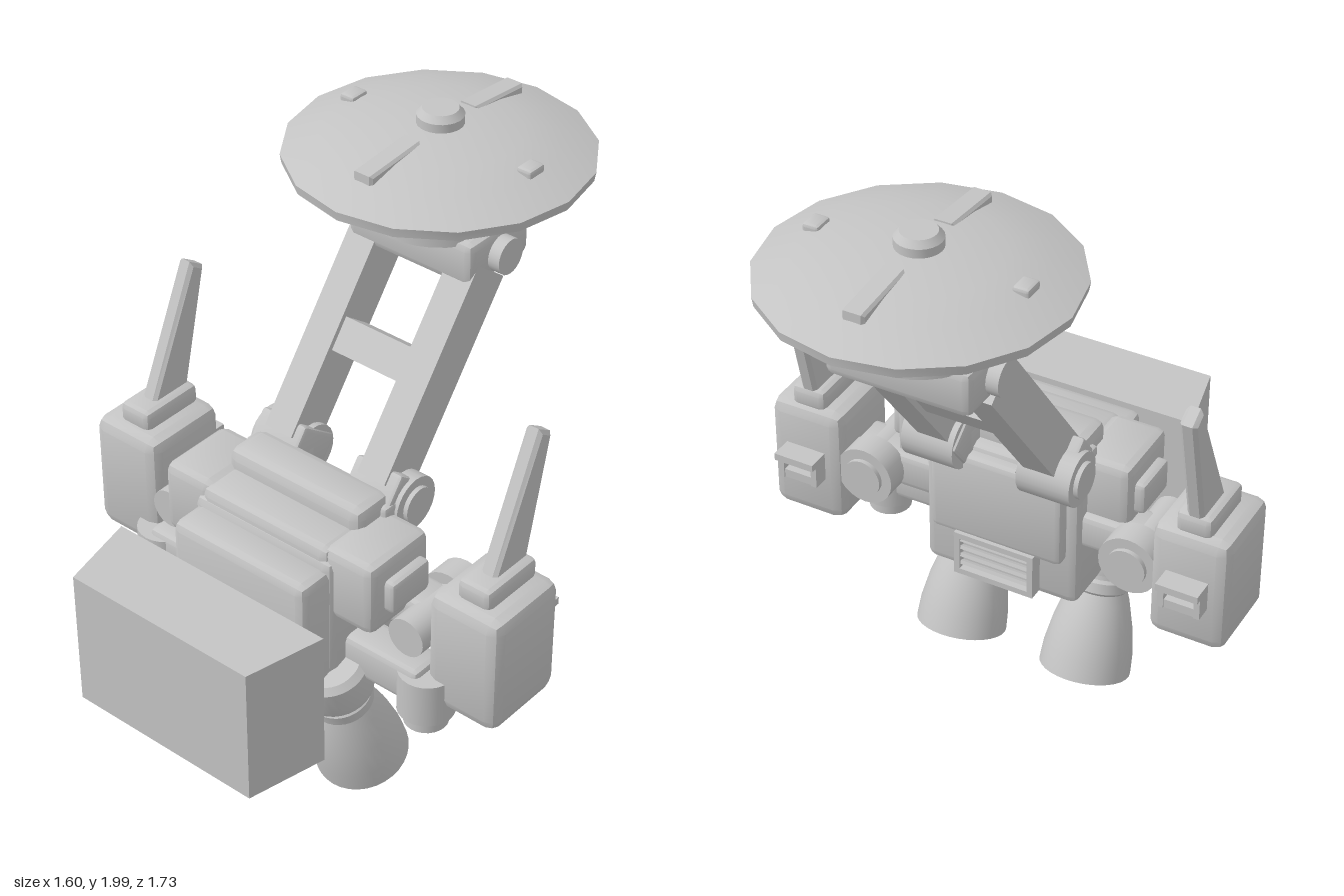
import * as THREE from 'three';
import { toCreasedNormals } from 'three/addons/utils/BufferGeometryUtils.js';
import { RoundedBoxGeometry } from 'three/addons/geometries/RoundedBoxGeometry.js';

const grey = new THREE.MeshStandardMaterial({ color: 0xc4c4c4, side: THREE.DoubleSide });
grey.name = 'light grey';

function add(parent, name, geometry, x = 0, y = 0, z = 0) {
  const mesh = new THREE.Mesh(geometry, grey);
  mesh.name = name;
  mesh.position.set(x, y, z);
  parent.add(mesh);
  return mesh;
}

// Box given by its limits, with optional rounded edges
function box(parent, name, [x0, x1], [y0, y1], [z0, z1], r = 0) {
  const size = [x1 - x0, y1 - y0, z1 - z0];
  const geometry = r
    ? toCreasedNormals(new RoundedBoxGeometry(...size, 1, r), 0.5)
    : new THREE.BoxGeometry(...size);
  return add(parent, name, geometry, (x0 + x1) / 2, (y0 + y1) / 2, (z0 + z1) / 2);
}

function cylinder(parent, name, r, length, axis, x, y, z, sides = 24) {
  const geometry = new THREE.CylinderGeometry(r, r, length, sides);
  if (axis === 'x') geometry.rotateZ(Math.PI / 2);
  if (axis === 'z') geometry.rotateX(Math.PI / 2);
  return add(parent, name, geometry, x, y, z);
}

function lathe(points, sides) {
  const profile = points.map(([r, y]) => new THREE.Vector2(r, y));
  return toCreasedNormals(new THREE.LatheGeometry(profile, sides), 0.5);
}

// Side profile in (z, y), extruded along x and centred on x = 0
function sideExtrude(points, width, bevel) {
  const shape = new THREE.Shape(points.map(([z, y]) => new THREE.Vector2(-z, y)));
  const depth = width - 2 * bevel;
  return new THREE.ExtrudeGeometry(shape, {
    depth, bevelEnabled: bevel > 0, bevelSize: bevel, bevelThickness: bevel,
    bevelOffset: -bevel, bevelSegments: 1,
  }).translate(0, 0, -depth / 2).rotateY(Math.PI / 2);
}

function buildBody(g) {
  box(g, 'bodyCore', [-0.27, 0.27], [0.43, 0.93], [0.07, 0.42], 0.03);
  box(g, 'chestPlate', [-0.26, 0.26], [0.335, 0.9], [0.38, 0.53], 0.03);
  box(g, 'upperStep', [-0.25, 0.25], [0.75, 0.965], [0.2, 0.41], 0.03);
  box(g, 'topRidge', [-0.26, 0.26], [0.85, 1.03], [0.12, 0.28], 0.035);
  box(g, 'backPanel', [-0.23, 0.23], [0.6, 0.91], [0.03, 0.14], 0.02);
  // Vent frame with slats on the lower back
  box(g, 'ventBase', [-0.13, 0.13], [0.46, 0.6], [0.045, 0.09]);
  for (const s of [-1, 1]) {
    box(g, 'ventFrameSide', [s * 0.13 - 0.01, s * 0.13 + 0.01], [0.45, 0.61], [0.02, 0.09]);
    box(g, 'ventFrameEdge', [-0.13, 0.13], [0.53 + s * 0.07 - 0.01, 0.53 + s * 0.07 + 0.01], [0.02, 0.09]);
  }
  for (let i = 0; i < 4; i++) {
    const slat = box(g, 'ventSlat', [-0.12, 0.12], [0.48 + i * 0.03, 0.492 + i * 0.03], [0.025, 0.06]);
    slat.rotation.x = 0.4;
  }
  // Separate block in front, narrower towards its front face
  const shape = new THREE.Shape([[-0.4, -0.6], [-0.34, -0.865], [0.34, -0.865], [0.4, -0.6]]
    .map(([x, y]) => new THREE.Vector2(x, y)));
  const block = new THREE.ExtrudeGeometry(shape, { depth: 0.47, bevelEnabled: false }).rotateX(-Math.PI / 2);
  add(g, 'frontBlock', block, 0, 0.38, 0);
}

// Everything on one side; the side s is -1 or 1
function buildSide(g, s) {
  const side = new THREE.Group();
  side.name = s > 0 ? 'leftSide' : 'rightSide';
  g.add(side);
  const X = (a, b) => (s > 0 ? [a, b] : [-b, -a]);

  // Shoulder and its outer cap
  box(side, 'shoulder', X(0.22, 0.41), [0.72, 0.97], [0.13, 0.4], 0.03);
  box(side, 'shoulderCap', X(0.39, 0.445), [0.79, 0.9], [0.17, 0.34], 0.015);

  // Pod joint
  cylinder(side, 'jointDisc', 0.1, 0.09, 'z', s * 0.465, 0.71, 0.065);
  cylinder(side, 'jointCap', 0.065, 0.02, 'z', s * 0.465, 0.71, 0.015);
  cylinder(side, 'jointPin', 0.065, 0.26, 'z', s * 0.475, 0.71, 0.19);
  box(side, 'jointArm', X(0.24, 0.57), [0.65, 0.77], [0.1, 0.24], 0.02);

  // Small steering thruster on a bracket
  box(side, 'thrusterBracket', X(0.24, 0.54), [0.49, 0.62], [0.22, 0.35], 0.02);
  cylinder(side, 'steeringThruster', 0.09, 0.15, 'y', s * 0.53, 0.525, 0.285);
  cylinder(side, 'steeringNozzle', 0.07, 0.05, 'y', s * 0.53, 0.43, 0.285);

  // Pod, fin and rear bracket
  box(side, 'pod', X(0.54, 0.8), [0.5, 0.91], [0.005, 0.31], 0.04);
  box(side, 'finBase', X(0.61, 0.73), [0.89, 0.97], [0.03, 0.26], 0.02);
  add(side, 'fin', sideExtrude([[0.2, 0.95], [0.04, 0.95], [-0.055, 1.355], [0, 1.39]], 0.056, 0.012), s * 0.67);
  box(side, 'podBracketTop', X(0.6, 0.74), [0.735, 0.76], [-0.07, 0.02]);
  box(side, 'podBracketBase', X(0.615, 0.725), [0.66, 0.69], [-0.045, 0.02]);
  for (const x of [0.61, 0.73]) {
    box(side, 'podBracketSide', X(x - 0.01, x + 0.01), [0.66, 0.75], [-0.05, 0.02]);
  }

  // Main thruster, tilted so that it opens down and back
  const thruster = new THREE.Group();
  thruster.name = 'mainThruster';
  thruster.position.set(s * 0.23, 0.055, 0.225);
  thruster.rotation.x = 0.325;
  side.add(thruster);
  add(thruster, 'bell', lathe([[0, 0.28], [0.075, 0.28], [0.115, 0.17], [0.135, 0.07], [0.14, 0],
    [0.15, 0], [0.146, 0.07], [0.13, 0.16], [0.105, 0.25], [0.085, 0.3]], 32));
  add(thruster, 'collar', lathe([[0, 0.28], [0.085, 0.28], [0.1, 0.295], [0.1, 0.33], [0.09, 0.34],
    [0.09, 0.355], [0.115, 0.365], [0.12, 0.39], [0.12, 0.48], [0.1, 0.5], [0, 0.5]], 32));

  // Mast hinge
  cylinder(side, 'hinge', 0.09, 0.18, 'x', s * 0.2, 0.955, 0.05);
  cylinder(side, 'hingeCap', 0.06, 0.02, 'x', s * 0.295, 0.955, 0.05);
  box(side, 'hingeBlock', X(0.1, 0.28), [0.86, 1.0], [0.05, 0.18], 0.015);

  // Mast beam, leaning back
  const beam = box(side, 'mastBeam', X(0.13, 0.235), [0.9, 1.6], [-0.078, 0.078]);
  beam.position.set(s * 0.1825, 1.275, -0.142);
  beam.rotation.x = -0.65;
  const socket = box(side, 'mastSocket', X(0.1, 0.275), [0, 0.14], [-0.085, 0.085], 0.012);
  socket.position.set(s * 0.1875, 0.97, 0.07);
  socket.rotation.x = -0.65;
  cylinder(side, 'headPivot', 0.058, 0.05, 'x', s * 0.25, 1.6, -0.395);
}

function buildDish(g) {
  const crossbar = box(g, 'mastCrossbar', [-0.135, 0.135], [0, 0.11], [0, 0.12]);
  crossbar.position.set(0, 1.272, -0.14);
  crossbar.rotation.x = -0.65;
  box(g, 'mastHead', [-0.235, 0.235], [1.53, 1.68], [-0.54, -0.255], 0.025);

  const dish = new THREE.Group();
  dish.name = 'dishAssembly';
  dish.position.z = -0.397;
  g.add(dish);
  add(dish, 'dishMount', lathe([[0, 1.66], [0.225, 1.66], [0.225, 1.71], [0.2, 1.715],
    [0.2, 1.76], [0.21, 1.765], [0.21, 1.79]], 32));
  add(dish, 'dish', lathe([[0, 1.775], [0.21, 1.775], [0.34, 1.795], [0.465, 1.835], [0.47, 1.865],
    [0.36, 1.908], [0.25, 1.934], [0.13, 1.95], [0, 1.955]], 16));
  add(dish, 'dishKnob', lathe([[0.072, 1.93], [0.072, 1.98], [0.055, 2], [0, 2]], 24));
  // Raised ribs and small nubs on the dish
  for (const s of [-1, 1]) {
    const rib = sideExtrude([[0.13, 1.92], [0.355, 1.89], [0.355, 1.937], [0.13, 1.955]], 0.07, 0.008);
    add(dish, 'dishRib', rib).rotation.y = s > 0 ? 0 : Math.PI;
    box(dish, 'dishNub', [s * 0.33 - 0.027, s * 0.33 + 0.027], [1.9, 1.932], [-0.035, 0.035], 0.01);
  }
}

export function createModel() {
  const model = new THREE.Group();
  model.name = 'flightPack';
  buildBody(model);
  for (const s of [-1, 1]) buildSide(model, s);
  buildDish(model);
  return model;
}
